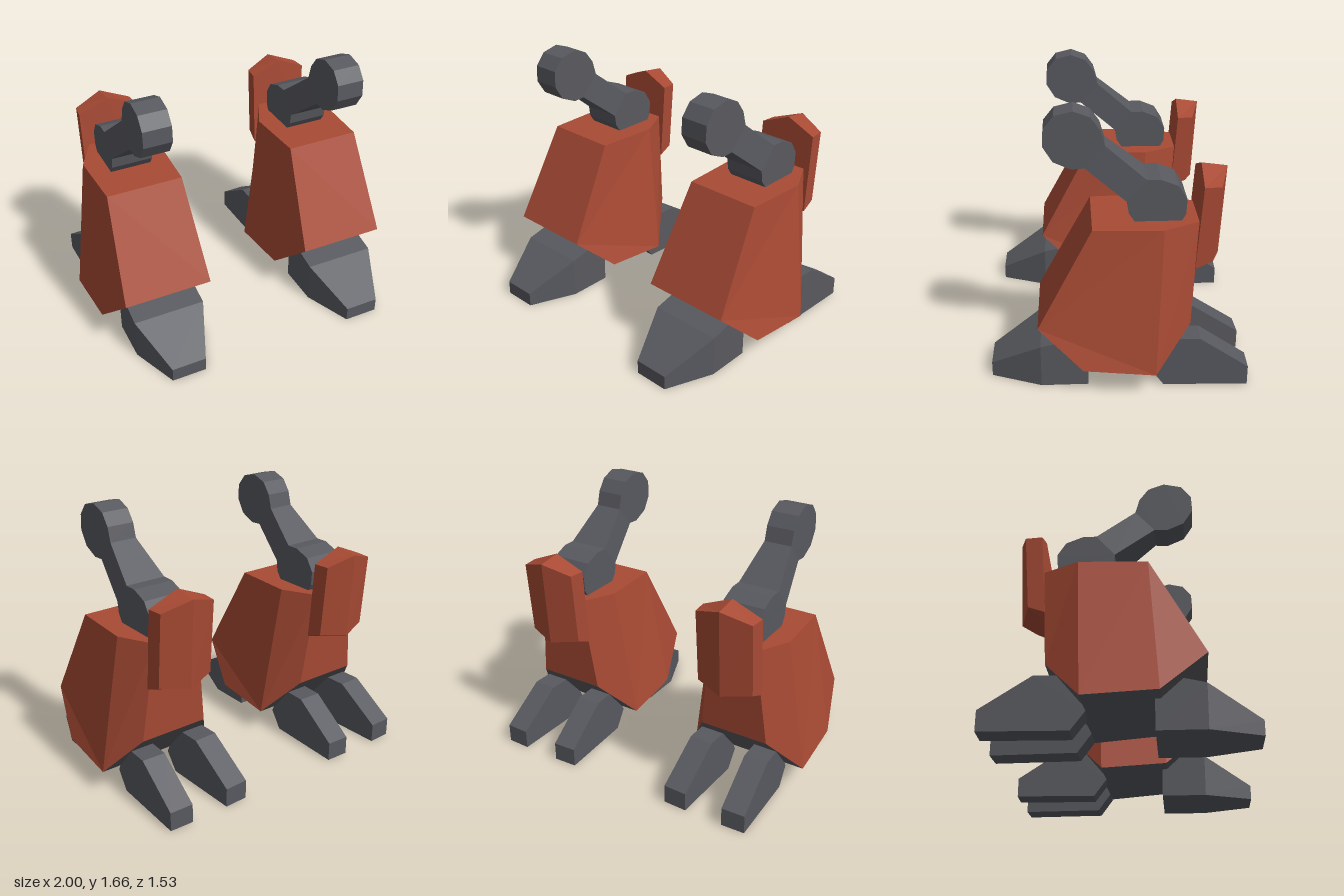
import * as THREE from 'three';

const armour = new THREE.MeshStandardMaterial({ color: 0xa84a34 });
armour.name = 'rust red armour';
const metal = new THREE.MeshStandardMaterial({ color: 0x58595f });
metal.name = 'dark grey metal';
for (const m of [armour, metal]) m.flatShading = true;

// Mirrored shell: faces on the +x half, plus strips that bridge the two halves
function shell(name, material, points, faces, strips = []) {
  const n = points.length;
  const all = [...points, ...points.map(([x, y, z]) => [-x, y, z])];
  const polygons = [
    ...faces,
    ...faces.map((f) => f.map((i) => i + n).reverse()),
    ...strips.map(([i, j]) => [i, j, j + n, i + n]),
  ];
  const pos = [];
  for (const p of polygons)
    for (let k = 1; k < p.length - 1; k++) pos.push(...all[p[0]], ...all[p[k]], ...all[p[k + 1]]);
  const g = new THREE.BufferGeometry();
  g.setAttribute('position', new THREE.Float32BufferAttribute(pos, 3));
  g.computeVertexNormals();
  const mesh = new THREE.Mesh(g, material);
  mesh.name = name;
  return mesh;
}

// Side profile of [z, y] points, with a half width that may vary along z
function slab(name, profile, halfWidth) {
  const shape = new THREE.Shape(profile.map(([z, y]) => new THREE.Vector2(z, y)));
  const g = new THREE.ExtrudeGeometry(shape, { depth: 2, bevelEnabled: false });
  g.translate(0, 0, -1).rotateY(-Math.PI / 2);
  const p = g.attributes.position;
  for (let i = 0; i < p.count; i++) {
    const w = typeof halfWidth === 'function' ? halfWidth(p.getZ(i)) : halfWidth;
    p.setX(i, p.getX(i) * w);
  }
  g.computeVertexNormals();
  const mesh = new THREE.Mesh(g, metal);
  mesh.name = name;
  return mesh;
}

function createLeg() {
  const leg = new THREE.Group();

  // Shin guard: front, bottom front, bottom back, heel, then top back to top front
  const body = [
    [0.28, 0.42, 0.48], [0.36, 0.18, 0.22], [0.38, 0.15, -0.2], [0.22, 0.4, -0.41],
    [0.15, 1.02, -0.45], [0.26, 1.02, -0.24], [0.24, 1.02, 0.16],
  ];
  leg.add(shell('shinGuard', armour, body, [[0, 1, 2, 5, 6], [2, 3, 4, 5]],
    [[0, 6], [6, 5], [5, 4], [4, 3]]));
  leg.add(shell('shinUnderside', metal, body, [], [[3, 2], [2, 1], [1, 0]]));

  // Ridged plate standing behind the shin
  leg.add(shell('calfPlate', armour, [
    [0.19, 0.74, -0.43], [0.19, 1.24, -0.465], [0.18, 1.24, -0.565], [0.18, 0.78, -0.53],
    [0, 0.72, -0.43], [0, 1.32, -0.47], [0, 1.3, -0.62], [0, 0.75, -0.59],
  ], [[0, 3, 2, 1], [3, 7, 6, 2], [1, 2, 6, 5], [0, 4, 7, 3], [0, 1, 5, 4]]));

  // Thigh linkage: knee joint, tapered strut, hip joint
  leg.add(slab('kneeJoint', [
    [-0.04, 1.14], [-0.15, 1.27], [-0.23, 1.27], [-0.33, 1.23], [-0.38, 1.15],
    [-0.375, 1.06], [-0.33, 0.98], [-0.11, 0.98], [-0.05, 1.07],
  ], 0.13));
  leg.add(slab('thighStrut', [[-0.04, 1.14], [0.195, 1.33], [0.08, 1.46], [-0.15, 1.27]],
    (z) => (z > 0 ? 0.088 : 0.13)));
  leg.add(slab('hipJoint', [
    [0.195, 1.33], [0.27, 1.325], [0.37, 1.37], [0.425, 1.46], [0.42, 1.56],
    [0.36, 1.635], [0.255, 1.66], [0.16, 1.625], [0.105, 1.55], [0.08, 1.46],
  ], 0.088));

  // Front foot: straight heel block and tapering toe
  leg.add(slab('frontFoot', [[0.19, 0], [0.47, 0], [0.47, 0.265], [0.19, 0.33]], 0.23));
  leg.add(slab('frontToe', [[0.47, 0], [0.77, 0], [0.77, 0.09], [0.47, 0.265]],
    (z) => (z > 0.6 ? 0.11 : 0.23)));

  // Two slightly splayed rear toes
  for (const side of [-1, 1]) {
    const toe = slab('rearToe', [
      [-0.76, 0], [-0.26, 0], [-0.18, 0.11], [-0.28, 0.315], [-0.47, 0.315], [-0.76, 0.12],
    ], 0.075);
    toe.position.x = side * 0.172;
    toe.rotation.y = side * -0.035;
    leg.add(toe);
  }
  return leg;
}

export function createModel() {
  const model = new THREE.Group();
  model.name = 'mechanicalLegs';
  for (const side of [-1, 1]) {
    const leg = createLeg();
    leg.name = side > 0 ? 'leftLeg' : 'rightLeg';
    leg.position.x = side * 0.62;
    model.add(leg);
  }
  return model;
}
